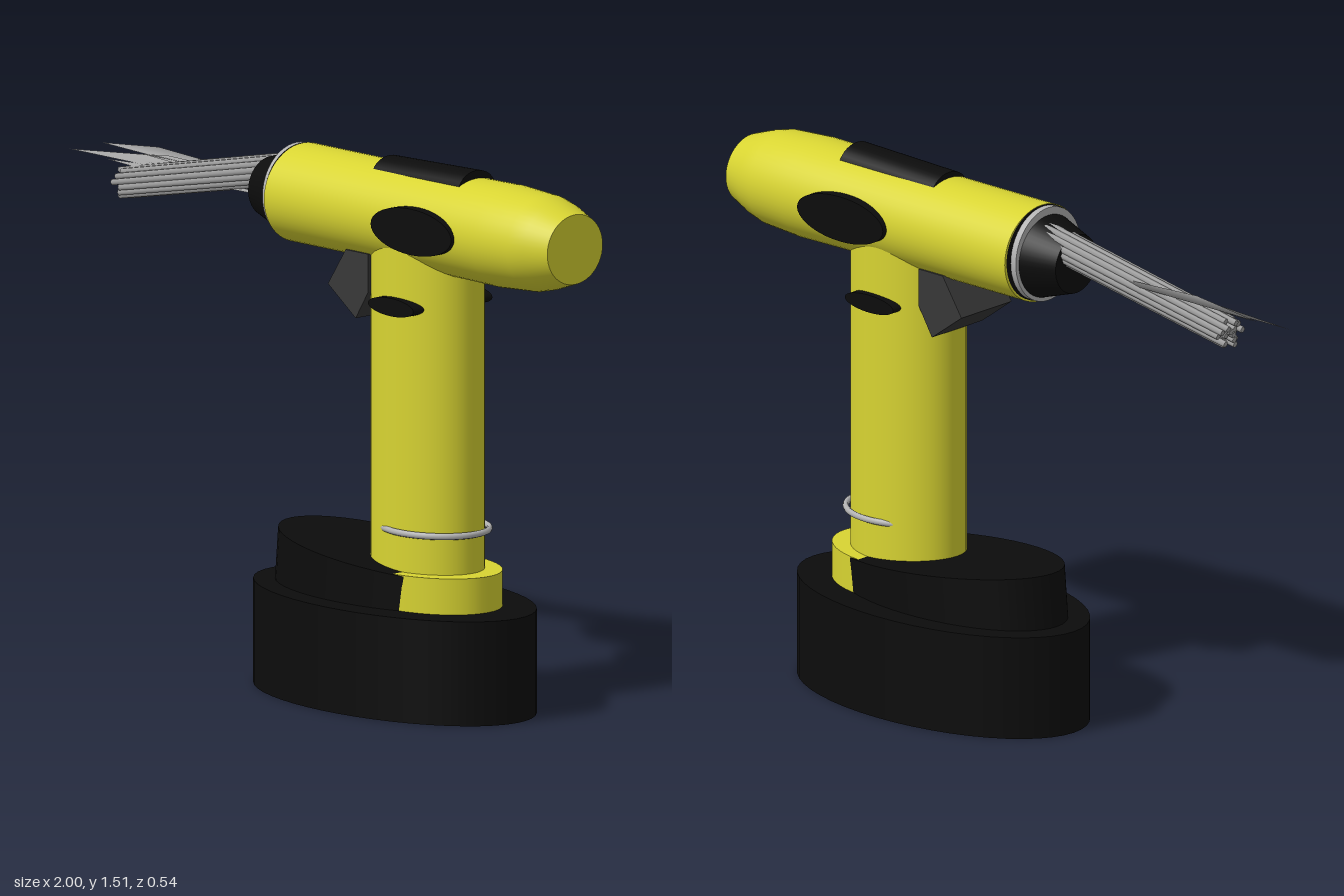
import * as THREE from 'three';

const paint = (color) => new THREE.MeshStandardMaterial({ color, side: THREE.DoubleSide });
const yellow = paint(0xd8d432);
const black = paint(0x0c0c0c);
const darkGrey = paint(0x383838);
const silver = paint(0xb4b4b4);
const bristleGrey = paint(0xa0a0a0);

export function createModel() {
  const model = new THREE.Group();

  const add = (name, geometry, material, x = 0, y = 0, z = 0) => {
    const mesh = new THREE.Mesh(geometry, material);
    mesh.name = name;
    mesh.position.set(x, y, z);
    model.add(mesh);
    return mesh;
  };
  // upright cylinder with an elliptical footprint
  const oval = (rx, rz, height) =>
    new THREE.CylinderGeometry(1, 1, height, 48).scale(rx, 1, rz);
  // profile of [x, radius] turned around the x axis, widened sideways
  const turned = (points, widen = 1) =>
    new THREE.LatheGeometry(points.map(([x, r]) => new THREE.Vector2(r, x)), 48)
      .rotateZ(-Math.PI / 2).scale(1, 1, widen);

  // stand
  add('base', oval(0.485, 0.27, 0.29), black, 0.285, 0.145);
  const tilt = -0.087;
  const step = add('slopedStep', oval(0.38, 0.2, 0.3).translate(0, -0.15, 0), black, 0.255, 0.407);
  step.rotation.z = tilt;
  add('collar', oval(0.235, 0.165, 0.12), yellow, 0.42, 0.33);
  add('column', oval(0.18, 0.13, 1.0), yellow, 0.415, 0.85);
  add('columnRing', new THREE.TorusGeometry(1, 0.055, 8, 48).rotateX(Math.PI / 2)
    .scale(0.161, 0.17, 0.136), silver, 0.445, 0.5);

  // barrel: straight tube, crisp shoulder lines, rounded tail
  add('barrel', turned([[-0.08, 0], [-0.08, 0.137], [-0.08, 0.137], [0.25, 0.137], [0.6, 0.14],
    [0.75, 0.142], [0.88, 0.134], [0.93, 0.122], [1, 0.097], [1, 0.097], [1, 0]], 1.07),
  yellow, 0, 1.35);
  add('noseRing', turned([[-0.105, 0], [-0.105, 0.133], [-0.105, 0.133],
    [-0.084, 0.133], [-0.084, 0.133], [-0.084, 0]], 0.97), silver, 0, 1.352);
  add('noseGap', turned([[-0.086, 0], [-0.086, 0.134], [-0.07, 0.134], [-0.07, 0]], 1.04), black, 0, 1.352);
  add('noseCone', turned([[-0.21, 0], [-0.21, 0.083], [-0.21, 0.083], [-0.1, 0.118],
    [-0.1, 0.118], [-0.1, 0]]), black, 0, 1.347);

  // black pads on top and on both sides
  const topPad = add('topPad', new THREE.CylinderGeometry(1, 1, 0.345, 32)
    .rotateZ(Math.PI / 2).scale(1, 0.055, 0.07), black, 0.4375, 1.453);
  topPad.rotation.z = 0.025;
  const disc = (rx, ry, depth) =>
    new THREE.CylinderGeometry(1, 1, depth, 40).rotateX(Math.PI / 2).scale(rx, ry, 1);
  for (const side of [1, -1]) {
    add('barrelPad', disc(0.16, 0.064, 0.06), black, 0.52, 1.35, side * 0.132);
    add('columnPad', disc(0.09, 0.025, 0.04), black, 0.425, 1.125, side * 0.128);
  }

  // trigger under the nose
  const outline = new THREE.Shape([[0.195, 1.245], [0.125, 1.14], [0.235, 1.06], [0.285, 1.14],
    [0.285, 1.245]].map(([x, y]) => new THREE.Vector2(x, y)));
  add('trigger', new THREE.ExtrudeGeometry(outline, { depth: 0.2, bevelEnabled: false })
    .translate(0, 0, -0.1), darkGrey);

  // bundle of thin rods leaving the nose
  const bundle = new THREE.Group();
  bundle.name = 'bristles';
  model.add(bundle);
  const start = new THREE.Vector3(-0.12, 1.408, -0.02);
  const end = new THREE.Vector3(-0.79, 1.272, 0.008);
  const axis = end.clone().sub(start);
  bundle.position.copy(start);
  bundle.quaternion.setFromUnitVectors(new THREE.Vector3(0, 1, 0), axis.clone().normalize());
  for (const [count, radius] of [[1, 0], [7, 0.018], [14, 0.036]]) {
    for (let i = 0; i < count; i++) {
      const a = (i / count) * Math.PI * 2;
      const length = axis.length() - 0.012 * ((i * 5) % 3);
      const rod = new THREE.Mesh(new THREE.CylinderGeometry(0.009, 0.011, length, 6), bristleGrey);
      rod.name = 'bristle';
      rod.position.set(Math.cos(a) * radius, length / 2, Math.sin(a) * radius);
      bundle.add(rod);
    }
  }

  // thin pointed blades beside the bundle: root, shoulder, tip, half width
  const blades = [
    [[-0.15, 1.33, -0.01], [-0.72, 1.345, 0], [-1, 1.335, 0.008], 0.016],
    [[-0.15, 1.35, -0.04], [-0.7, 1.365, -0.03], [-0.93, 1.355, -0.048], 0.014],
    [[-0.15, 1.36, -0.02], [-0.65, 1.35, -0.015], [-0.88, 1.34, -0.02], 0.018],
    [[-0.15, 1.32, 0.01], [-0.6, 1.325, 0.0], [-0.85, 1.33, 0.012], 0.012],
  ];
  blades.forEach(([root, mid, tip, w]) => {
    const corners = [
      root, [mid[0], mid[1] + 0.012, mid[2] - w], tip, [mid[0], mid[1] - 0.008, mid[2] + w],
    ];
    const geometry = new THREE.BufferGeometry();
    geometry.setAttribute('position', new THREE.Float32BufferAttribute(corners.flat(), 3));
    geometry.setIndex([0, 2, 1, 0, 3, 2]);
    geometry.computeVertexNormals();
    add('blade', geometry, bristleGrey);
  });

  return model;
}
